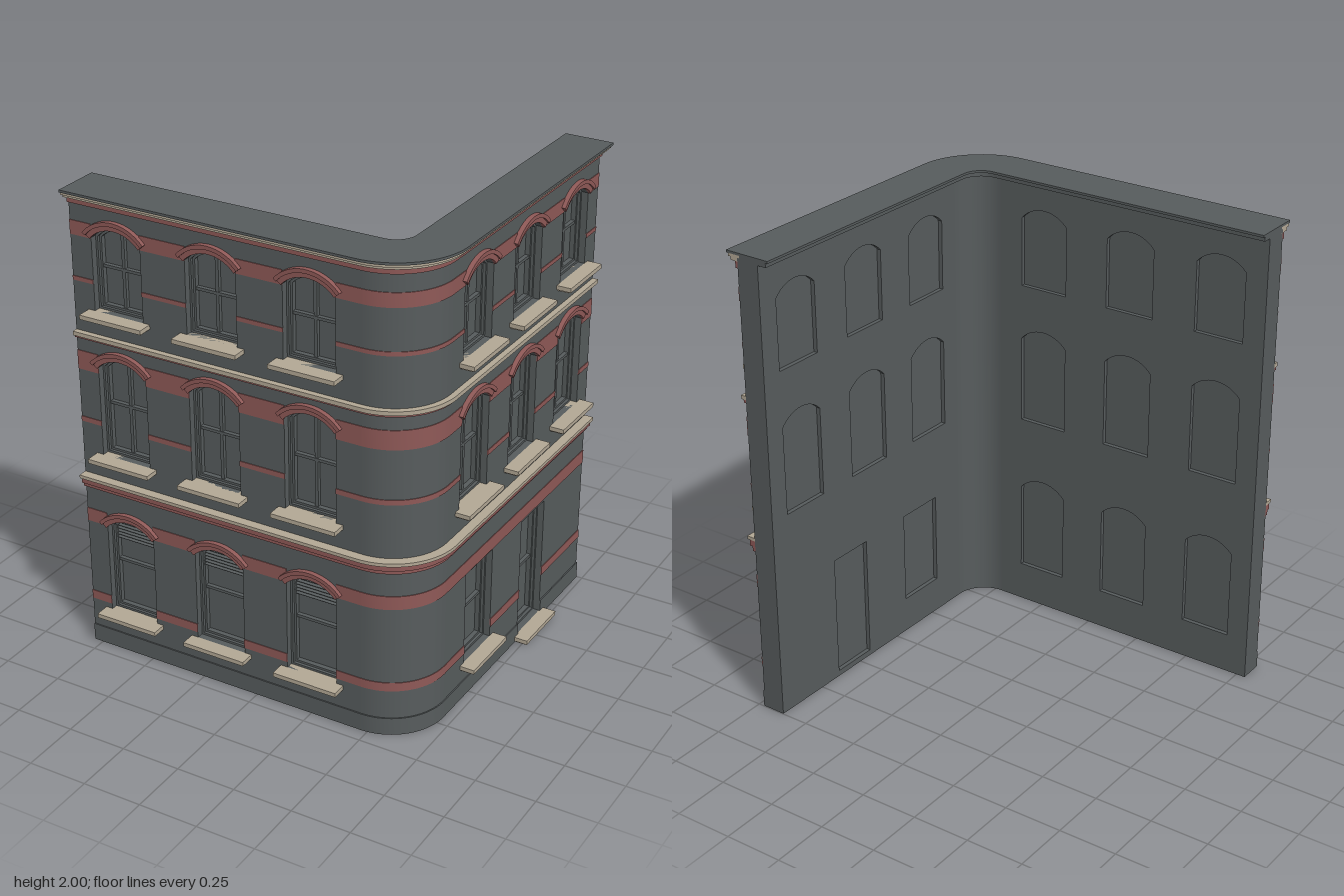
import * as THREE from 'three';
import { toCreasedNormals } from 'three/addons/utils/BufferGeometryUtils.js';

const mat = (name, color) => {
  const m = new THREE.MeshStandardMaterial({ color });
  m.name = name;
  return m;
};

export function createModel() {
  const model = new THREE.Group();
  model.name = 'cornerFacade';
  const slate = mat('slateGrey', 0x575c5d);
  const red = mat('brickRed', 0x8f5957);
  const stone = mat('paleStone', 0xb3a895);

  // Plan: two legs around a corner centre; distances d are measured outward from it
  const CX = 0.47, CZ = 0.45, LEAN = 0.013, LEFT = -0.79, LENGTH = 1.2;
  const INNER = 0.135, OUTER = 0.235, SWEEP = Math.PI / 2 - LEAN;

  function add(parent, name, geometry, material) {
    const mesh = new THREE.Mesh(geometry, material);
    mesh.name = name;
    parent.add(mesh);
    return mesh;
  }

  function box(parent, name, material, x0, x1, y0, y1, z0, z1) {
    const m = add(parent, name, new THREE.BoxGeometry(x1 - x0, y1 - y0, z1 - z0), material);
    m.position.set((x0 + x1) / 2, (y0 + y1) / 2, (z0 + z1) / 2);
    return m;
  }

  function extrude(parent, name, material, shape, z0, z1) {
    const g = new THREE.ExtrudeGeometry(shape, { depth: z1 - z0, bevelEnabled: false, curveSegments: 14 });
    const m = add(parent, name, toCreasedNormals(g, 0.5), material);
    m.position.z = z0;
    return m;
  }

  // Horizontal course around the rounded corner, optionally along both legs
  function course(name, material, d0, d1, y0, y1, fullLength = true) {
    const line = (d) => {
      const pts = [];
      if (fullLength) pts.push(new THREE.Vector2(LEFT, -(CZ + d)));
      for (let i = 0; i <= 24; i++) {
        const t = (SWEEP * i) / 24;
        pts.push(new THREE.Vector2(CX + d * Math.sin(t), -(CZ + d * Math.cos(t))));
      }
      if (fullLength) {
        pts.push(new THREE.Vector2(
          CX + d * Math.cos(LEAN) + LENGTH * Math.sin(LEAN),
          -(CZ + d * Math.sin(LEAN) - LENGTH * Math.cos(LEAN))));
      }
      return pts;
    };
    const shape = new THREE.Shape([...line(d1), ...line(d0).reverse()]);
    const g = new THREE.ExtrudeGeometry(shape, { depth: y1 - y0, bevelEnabled: false });
    g.rotateX(-Math.PI / 2);
    add(model, name, toCreasedNormals(g, 0.5), material).position.y = y0;
  }

  // Opening outline with a segmental arch, or a flat head when rise is 0
  function arch(o) {
    const h = o.w / 2, r = (h * h + o.rise * o.rise) / (2 * o.rise);
    return { r, cy: o.top - r, half: Math.asin(h / r) };
  }

  function outline(o, inset, Type) {
    const s = new Type(), h = o.w / 2 - inset, x = o.ox ?? 0;
    s.moveTo(x - h, o.y0 + inset);
    s.lineTo(x + h, o.y0 + inset);
    if (o.rise) {
      const a = arch(o), r = a.r - inset, b = Math.asin(h / r);
      s.lineTo(x + h, a.cy + r * Math.cos(b));
      s.absarc(x, a.cy, r, Math.PI / 2 - b, Math.PI / 2 + b, false);
    } else {
      s.lineTo(x + h, o.top - inset);
      s.lineTo(x - h, o.top - inset);
    }
    s.closePath();
    return s;
  }

  function archRing(parent, name, o, in0, out, z1) {
    const a = arch(o), from = Math.PI / 2 - a.half, to = Math.PI / 2 + a.half;
    const s = new THREE.Shape();
    s.absarc(0, a.cy, a.r + out, from, to, false);
    s.absarc(0, a.cy, a.r + in0, to, from, true);
    s.closePath();
    extrude(parent, name, red, s, OUTER - 0.002, z1);
  }

  function fillOpening(leg, o) {
    const g = new THREE.Group();
    g.name = o.kind;
    g.position.x = o.x;
    leg.add(g);
    const h = o.w / 2;
    extrude(g, 'pane', slate, outline(o, 0, THREE.Shape), 0.153, 0.175);
    // Stepped frame
    for (const [inset, z] of [[0.009, 0.207], [0.018, 0.195]]) {
      const frame = outline(o, 0, THREE.Shape);
      frame.holes.push(outline(o, inset, THREE.Path));
      extrude(g, 'frame', slate, frame, 0.17, z);
    }
    box(g, 'meetingRail', slate, -h + 0.01, h - 0.01, o.rail - 0.006, o.rail + 0.006, 0.17, 0.192);
    if (o.mullion) box(g, 'mullion', slate, -0.007, 0.007, o.y0 + 0.01, o.top - 0.01, 0.17, 0.19);
    // Louvred vent in the head of the ground floor windows
    if (o.vent) {
      for (let i = 0; i < 6; i++) {
        const y = 0.505 + i * 0.014;
        box(g, 'ventSlat', slate, -h + 0.012, h - 0.012, y - 0.002, y + 0.002, 0.174, 0.196).rotation.x = 0.6;
      }
    }
    // Brick arch with a raised hood
    if (o.rise) {
      archRing(g, 'brickArch', o, 0, 0.035, OUTER + 0.012);
      archRing(g, 'archHood', o, 0.02, 0.036, OUTER + 0.02);
    }
    // Sill or doorstep
    const e = h + 0.03;
    box(g, 'sill', stone, -e, e, o.y0 - 0.018, o.y0, 0.18, 0.297);
    box(g, 'sillBed', stone, -e + 0.008, e - 0.008, o.y0 - 0.025, o.y0 - 0.018, 0.2, 0.285);
  }

  const bands = [[0.2, 0.238], [0.567, 0.625], [1.017, 1.038], [1.245, 1.325], [1.62, 1.637], [1.807, 1.865]];

  function buildLeg(name, x0, x1, openings) {
    const leg = new THREE.Group();
    leg.name = name;
    model.add(leg);
    const wall = new THREE.Shape();
    wall.moveTo(x0, 0).lineTo(x1, 0).lineTo(x1, 1.98).lineTo(x0, 1.98).closePath();
    for (const o of openings) wall.holes.push(outline({ ...o, ox: o.x }, 0, THREE.Path));
    extrude(leg, 'wall', slate, wall, INNER, OUTER);
    for (const o of openings) fillOpening(leg, o);
    // Red brick bands and the plinth stop at each opening
    const strip = (part, material, y0, y1, z1) => {
      let from = x0;
      const cuts = openings.filter((o) => o.y0 - 0.02 < y1 && o.top > y0 + 0.01).sort((a, b) => a.x - b.x);
      for (const o of cuts) {
        box(leg, part, material, from, o.x - o.w / 2, y0, y1, OUTER - 0.002, z1);
        from = o.x + o.w / 2;
      }
      box(leg, part, material, from, x1, y0, y1, OUTER - 0.002, z1);
    };
    for (const [a, b] of bands) strip('brickBand', red, a, b, OUTER + 0.003);
    strip('plinth', slate, 0, 0.075, OUTER + 0.005);
    return leg;
  }

  const upper = (x) => [
    { kind: 'middleWindow', x, w: 0.22, y0: 0.89, top: 1.32, rise: 0.05, rail: 1.107, mullion: true },
    { kind: 'topWindow', x, w: 0.22, y0: 1.51, top: 1.86, rise: 0.05, rail: 1.685, mullion: true },
  ];

  // Front leg
  const frontOpenings = [-0.585, -0.167, 0.251].flatMap((x) => [
    { kind: 'groundWindow', x, w: 0.22, y0: 0.175, top: 0.612, rise: 0.05, rail: 0.397, vent: true },
    ...upper(x),
  ]);
  buildLeg('frontLeg', LEFT, CX, frontOpenings).position.z = CZ;

  // Side leg, with a flat-headed window and a door at street level
  const sideOpenings = [
    { kind: 'sideWindow', x: 0.275, w: 0.22, y0: 0.157, top: 0.562, rise: 0, rail: 0.36 },
    { kind: 'door', x: 0.74, w: 0.205, y0: 0.025, top: 0.556, rise: 0, rail: 0.29 },
    ...[0.2, 0.598, 1.0].flatMap(upper),
  ];
  const side = buildLeg('sideLeg', 0, LENGTH, sideOpenings);
  side.position.set(CX, 0, CZ);
  side.rotation.y = SWEEP;

  // Rounded corner
  course('cornerWall', slate, INNER, OUTER, 0, 1.98, false);
  course('cornerPlinth', slate, OUTER - 0.002, OUTER + 0.005, 0, 0.075, false);
  for (const [a, b] of bands) course('cornerBand', red, OUTER - 0.002, OUTER + 0.003, a, b, false);

  // Cornices and roof coping
  const IN = OUTER - 0.01;
  course('lowerCorniceBase', red, IN, 0.249, 0.73, 0.75);
  course('lowerCorniceBrick', red, IN, 0.262, 0.75, 0.776);
  course('lowerCorniceStone', stone, IN, 0.274, 0.776, 0.79);
  course('middleCorniceBrick', red, IN, 0.247, 1.383, 1.395);
  course('middleCorniceStone', stone, IN, 0.259, 1.395, 1.412);
  course('topCorniceBrick', red, IN, 0.246, 1.938, 1.965);
  course('topCorniceStone', stone, IN, 0.268, 1.965, 1.978);
  course('topCorniceLip', stone, IN, 0.281, 1.978, 1.99);
  course('copingBed', slate, 0.095, IN, 1.972, 1.99);
  course('coping', slate, 0.085, 0.29, 1.99, 2);
  return model;
}
